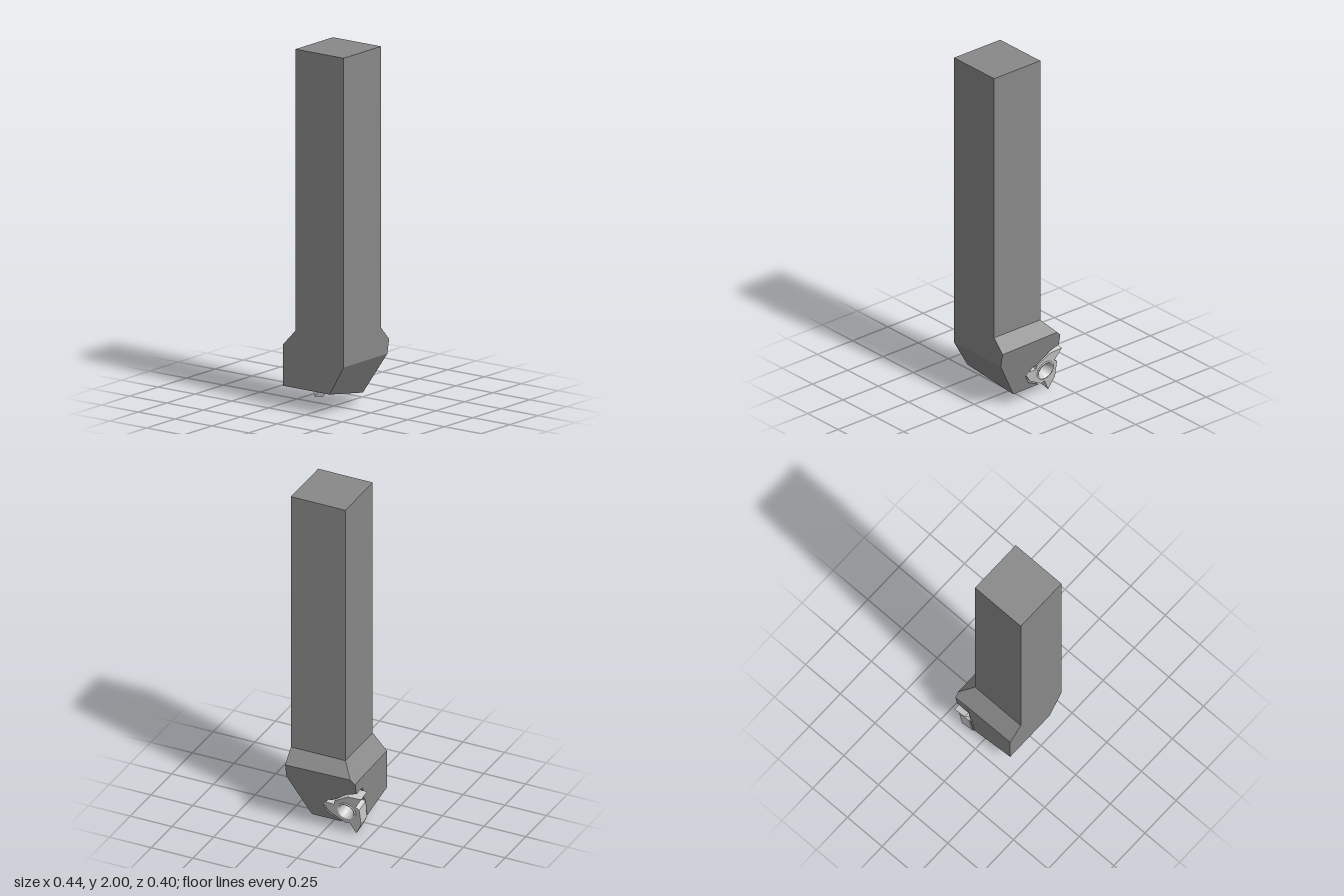
import * as THREE from 'three';
import { ConvexGeometry } from 'three/addons/geometries/ConvexGeometry.js';

// sloping back face of the head, and the pocket floor below it
const backZ = (x, y) => -0.2 - 0.2 * (y - 0.365) + 0.012 * (0.22 - x);
const floorZ = (y) => -0.13 - 0.2 * (y - 0.44);
const V2 = (p) => new THREE.Vector2(p[0], p[1]);

export function createModel() {
  const group = new THREE.Group();
  const steel = new THREE.MeshStandardMaterial({ color: 0x888888, flatShading: true });
  const carbide = new THREE.MeshStandardMaterial({ color: 0xcccccc, flatShading: true });
  const smooth = new THREE.MeshStandardMaterial({ color: 0xcccccc, side: THREE.DoubleSide });
  const add = (parent, name, geo, material) => {
    const mesh = new THREE.Mesh(geo, material);
    mesh.name = name;
    parent.add(mesh);
    return mesh;
  };

  // square shank
  add(group, 'shank', new THREE.BoxGeometry(0.327, 1.56, 0.33), steel).position.set(0.0565, 1.22, 0.035);

  // solid front of the head, ending at the pocket floor
  const front = [[-0.107, 0.44], [0.22, 0.44], [0.22, 0.286], [0.126, 0.122], [-0.192, 0.122], [-0.192, 0.35]];
  const floor = [[-0.107, 0.44], [0.22, 0.44], [0.22, 0.286], [0.099, 0.075], [-0.195, 0.075], [-0.194, 0.347]];
  add(group, 'headFront', new ConvexGeometry([
    ...front.map(([x, y]) => new THREE.Vector3(x, y, 0.2)),
    ...floor.map(([x, y]) => new THREE.Vector3(x, y, floorZ(y))),
  ]), steel);

  // back layer of the head with the pocket left out: [x, y at floor, x, y at back face]
  const layer = [
    [-0.107, 0.44, -0.17, 0.37], [-0.194, 0.347, -0.197, 0.345],
    [-0.196, 0.28, -0.197, 0.28], [-0.14, 0.262, -0.14, 0.262],
    [-0.045, 0.195, -0.045, 0.195], [0.035, 0.185, 0.035, 0.185],
    [-0.01, 0.1, -0.01, 0.1], [-0.09, 0.075, -0.09, 0.06],
    [0.099, 0.075, 0.09, 0.06], [0.22, 0.286, 0.22, 0.286], [0.22, 0.44, 0.22, 0.365],
  ];
  const back = new THREE.ExtrudeGeometry(new THREE.Shape(layer.map(V2)), { depth: 1, bevelEnabled: false });
  const pos = back.attributes.position;
  for (let i = 0; i < pos.count; i++) {
    const x = pos.getX(i), y = pos.getY(i);
    if (pos.getZ(i) > 0.5) {
      pos.setZ(i, floorZ(y));
    } else {
      const p = layer.find((q) => Math.hypot(q[0] - x, q[1] - y) < 1e-4);
      pos.setXYZ(i, p[2], p[3], backZ(p[2], p[3]));
    }
  }
  back.computeVertexNormals();
  add(group, 'headBack', back, steel);

  // cutting insert, tilted with the back face
  const insert = new THREE.Group();
  insert.name = 'insertAssembly';
  insert.position.set(-0.123, 0.14, backZ(-0.123, 0.14));
  insert.rotation.x = -0.2;
  group.add(insert);

  // three-fold plate made by turning one outline section
  const plate = (section, depth, hole) => {
    const pts = [];
    for (let k = 0; k < 3; k++) {
      for (const p of section) pts.push(V2(p).rotateAround(new THREE.Vector2(), k * Math.PI * 2 / 3));
    }
    const shape = new THREE.Shape(pts);
    shape.holes.push(new THREE.Path().absarc(0, 0, hole, 0, Math.PI * 2, true));
    return new THREE.ExtrudeGeometry(shape, { depth, bevelEnabled: false, curveSegments: 24 });
  };
  add(insert, 'insert',
    plate([[-0.08, 0.03], [-0.082, -0.073], [-0.046, -0.143], [-0.01, -0.075]], 0.073, 0.05), carbide);
  add(insert, 'shim',
    plate([[-0.078, 0.03], [-0.078, -0.07], [-0.03, -0.075]], 0.014, 0.03), steel).position.z = 0.072;

  // countersunk bore with a small raised rim
  const bore = new THREE.LatheGeometry(
    [[0.057, 0.002], [0.057, -0.005], [0.047, -0.005], [0.037, 0.025], [0.03, 0.04], [0.03, 0.08]].map(V2), 32);
  add(insert, 'screwBore', bore.rotateX(Math.PI / 2), smooth);

  return group;
}
